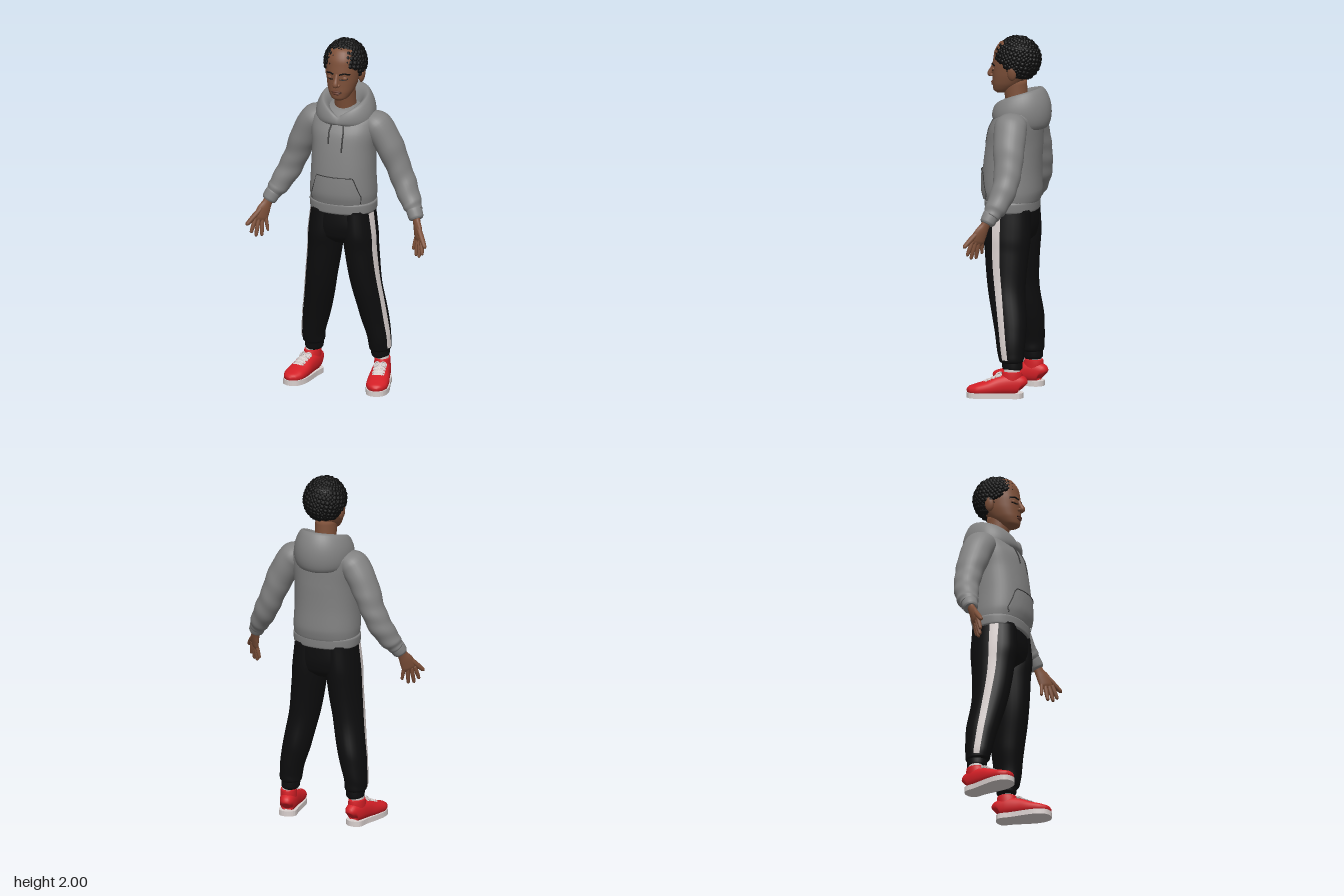
import * as THREE from 'three';
import { mergeGeometries } from 'three/addons/utils/BufferGeometryUtils.js';

const V = (x, y, z) => new THREE.Vector3(x, y, z);
const paint = (name, color, side = THREE.FrontSide) => {
  const m = new THREE.MeshStandardMaterial({ color, side });
  m.name = name;
  return m;
};

// Surface through closed rows of points, capped at both ends on request
function skin(rows, caps = true) {
  const n = rows[0].length, pos = rows.flat().flatMap(p => [p.x, p.y, p.z]), idx = [];
  for (let i = 0; i < rows.length - 1; i++) for (let j = 0; j < n; j++) {
    const k = (j + 1) % n, a = i * n + j, b = i * n + k;
    idx.push(a, b, a + n, b, b + n, a + n);
  }
  if (caps) [rows[0], rows[rows.length - 1]].forEach((row, end) => {
    const c = row.reduce((s, p) => s.add(p), V(0, 0, 0)).divideScalar(n);
    const ci = pos.length / 3, o = end ? (rows.length - 1) * n : 0;
    pos.push(c.x, c.y, c.z);
    for (let j = 0; j < n; j++) {
      const k = (j + 1) % n;
      idx.push(ci, o + (end ? j : k), o + (end ? k : j));
    }
  });
  const g = new THREE.BufferGeometry();
  g.setAttribute('position', new THREE.Float32BufferAttribute(pos, 3));
  g.setIndex(idx);
  g.computeVertexNormals();
  return g;
}

// Smooth loft through rings [x, y, z, radiusU, radiusV]; flat keeps rings horizontal
function loft(rings, { seg = 28, steps = 5, ref = V(0, 0, 1), flat = false, p = 2, fold = 0 } = {}) {
  const mid = new THREE.CatmullRomCurve3(rings.map(r => V(r[0], r[1], r[2])));
  const rad = new THREE.CatmullRomCurve3(rings.map(r => V(r[3], r[4], 0)));
  const n = (rings.length - 1) * steps, rows = [];
  const bend = c => Math.sign(c) * Math.abs(c) ** (2 / p);
  for (let i = 0; i <= n; i++) {
    const t = i / n, c = mid.getPoint(t), r = rad.getPoint(t);
    const dir = mid.getTangent(t);
    if (flat) dir.set(0, Math.sign(dir.y), 0);
    const u = ref.clone().cross(dir).normalize(), v = dir.clone().cross(u);
    rows.push(Array.from({ length: seg }, (_, j) => {
      const a = j / seg * Math.PI * 2;
      const k = 1 + fold * t * Math.sin(t * 38 + 2 * Math.sin(a + t * 3));
      return c.clone().addScaledVector(u, r.x * k * bend(Math.cos(a))).addScaledVector(v, r.y * k * bend(Math.sin(a)));
    }));
  }
  return skin(rows);
}

// Drop a point along dir onto target meshes
function drop(targets, p, dir, off) {
  const hit = new THREE.Raycaster(p, dir).intersectObjects(targets, false)[0];
  return hit ? hit.point.addScaledVector(dir, -off) : null;
}
const lerp = THREE.MathUtils.lerp;

export function createModel() {
  const model = new THREE.Group();
  model.name = 'standingFigure';
  const grey = paint('hoodieGrey', 0x828282, THREE.DoubleSide), seamGrey = paint('seamGrey', 0x3c3c3c);
  const brown = paint('skinBrown', 0x7d5039), lip = paint('lipBrown', 0x643a2c);
  const black = paint('hairBlack', 0x0b0b0b), pant = paint('trouserBlack', 0x0d0d0e);
  const white = paint('stripeWhite', 0xd9d0ce, THREE.DoubleSide), red = paint('shoeRed', 0xd31f26);

  const add = (name, geo, mat, parent = model) => {
    const m = new THREE.Mesh(geo, mat);
    m.name = name;
    parent.add(m);
    return m;
  };
  // Thin line laid over a surface
  const line = (name, mat, targets, pts, dir, r, parent) => {
    const q = [];
    pts.forEach((p, i) => {
      for (let k = 0; i && k < 6; k++) q.push(drop(targets, pts[i - 1].clone().lerp(p, k / 6), dir, r * 0.3));
    });
    q.push(drop(targets, pts[pts.length - 1], dir, r * 0.3));
    const ok = q.filter(Boolean);
    if (ok.length > 1) add(name, new THREE.TubeGeometry(new THREE.CatmullRomCurve3(ok), ok.length * 2, r, 6), mat, parent);
  };
  // Thin panel laid over a surface; at(u, v) gives the launch point
  const panel = (name, mat, targets, nu, nv, at, dir, off, parent) => {
    const g = new THREE.PlaneGeometry(1, 1, nu, nv), a = g.attributes.position;
    for (let i = 0; i < a.count; i++) {
      const s = at(a.getX(i) + 0.5, 0.5 - a.getY(i)), p = drop(targets, s, dir, off) || s;
      a.setXYZ(i, p.x, p.y, p.z);
    }
    g.computeVertexNormals();
    add(name, g, mat, parent);
  };
  const back = V(0, 0, -1), down = V(0, -1, 0);
  const front = (...pts) => pts.map(([x, y]) => V(x, y, 1));
  const ball = (name, mat, x, y, z, rx, ry, rz) => {
    const m = add(name, new THREE.SphereGeometry(1, 20, 14), mat);
    m.position.set(x, y, z);
    m.scale.set(rx, ry, rz);
    return m;
  };

  // Head and neck
  const head = add('head', loft([[0, 1.675, 0.075, 0.02, 0.025], [0, 1.69, 0.064, 0.048, 0.054], [0, 1.73, 0.04, 0.072, 0.083],
    [0, 1.78, 0.02, 0.086, 0.102], [0, 1.84, 0.005, 0.093, 0.117], [0, 1.9, -0.005, 0.095, 0.118], [0, 1.96, -0.01, 0.07, 0.09],
    [0, 1.98, -0.01, 0.02, 0.03]], { flat: true, seg: 36, p: 2.15 }), brown);
  add('neck', loft([[0, 1.54, -0.035, 0.066, 0.066], [0, 1.64, -0.015, 0.06, 0.064], [0, 1.75, 0, 0.06, 0.07]], { flat: true }), brown);
  add('noseBridge', loft([[0, 1.835, 0.115, 0.01, 0.01], [0, 1.805, 0.128, 0.012, 0.012], [0, 1.778, 0.14, 0.016, 0.015],
    [0, 1.766, 0.135, 0.01, 0.01]], { seg: 14 }), brown);
  ball('upperLip', lip, 0, 1.734, 0.122, 0.027, 0.007, 0.01);
  ball('lowerLip', lip, 0, 1.722, 0.12, 0.024, 0.008, 0.011);
  line('mouthLine', black, [head], front([-0.028, 1.729], [0, 1.728], [0.028, 1.729]), back, 0.002);
  for (const s of [1, -1]) {
    ball('ear', brown, s * 0.1, 1.8, -0.015, 0.015, 0.042, 0.026).rotation.z = -s * 0.15;
    ball('nostril', brown, s * 0.013, 1.773, 0.127, 0.011, 0.009, 0.013);
    ball('eyelid', brown, s * 0.038, 1.812, 0.105, 0.02, 0.012, 0.012);
    line('eyeLine', black, [head], front([s * 0.018, 1.807], [s * 0.038, 1.803], [s * 0.06, 1.808]), back, 0.0035);
    line('eyebrow', black, [head], front([s * 0.016, 1.834], [s * 0.042, 1.841], [s * 0.068, 1.832]), back, 0.0045);
  }

  // Curly hair: a core covered in small tufts above the hairline
  const curls = [], count = 620;
  for (let i = 0; i < count; i++) {
    const y = 1 - 2 * (i + 0.5) / count, r = Math.sqrt(1 - y * y), a = i * 2.39996;
    const p = V(Math.cos(a) * r * 0.108, 1.868 + y * 0.117, -0.02 + Math.sin(a) * r * 0.12);
    if (p.y < 1.77 + Math.max(0, p.z + 0.045) * 0.85) continue;
    const g = new THREE.IcosahedronGeometry(0.0135 + 0.003 * Math.sin(i * 7.3), 1);
    curls.push(g.translate(p.x, p.y, p.z));
  }
  add('hairCurls', mergeGeometries(curls), black);
  ball('hairCrown', black, 0, 1.905, -0.022, 0.107, 0.083, 0.118);
  ball('hairBack', black, 0, 1.85, -0.055, 0.095, 0.09, 0.083);

  // Hoodie body, hem and hood
  const torso = add('hoodieBody', loft([[0, 1.06, 0.008, 0.175, 0.14], [0, 1.085, 0.008, 0.183, 0.15], [0, 1.14, 0.01, 0.186, 0.162],
    [0, 1.25, 0.01, 0.18, 0.16], [0, 1.38, 0, 0.178, 0.155], [0, 1.48, -0.012, 0.188, 0.146], [0, 1.55, -0.03, 0.188, 0.127],
    [0, 1.6, -0.04, 0.15, 0.1], [0, 1.625, -0.04, 0.08, 0.06]], { flat: true, seg: 44, p: 2.25 }), grey);
  add('hoodieHem', loft([[0, 1.022, 0.01, 0.178, 0.136], [0, 1.03, 0.01, 0.187, 0.145], [0, 1.075, 0.01, 0.19, 0.148],
    [0, 1.088, 0.01, 0.18, 0.142]], { flat: true, seg: 44, p: 2.25 }), grey);
  // Rows: side radius, front z, back z, front y, back y
  const hoodRows = [[0.1, 0.05, -0.12, 1.5, 1.48], [0.15, 0.1, -0.185, 1.53, 1.49], [0.168, 0.118, -0.208, 1.54, 1.55],
    [0.16, 0.118, -0.2, 1.56, 1.645], [0.128, 0.105, -0.158, 1.578, 1.712], [0.102, 0.085, -0.115, 1.568, 1.69], [0.07, 0.045, -0.07, 1.54, 1.6]];
  const hoodCols = Array.from({ length: 44 }, (_, j) => {
    const a = j / 44 * Math.PI * 2, c = Math.cos(a), b = ((1 - c) / 2) ** 0.45;
    return new THREE.CatmullRomCurve3(hoodRows.map(([rx, zf, zb, yf, yb]) =>
      V(rx * Math.sin(a), lerp(yf, yb, b), -0.02 + (c > 0 ? (zf + 0.02) * c : -(zb + 0.02) * c)))).getPoints(24);
  });
  add('hood', skin(hoodCols[0].map((_, i) => hoodCols.map(c => c[i])), false), grey);

  // Front pocket, seams and drawstrings
  panel('frontPocket', grey, [torso], 16, 8, (u, v) => V((u - 0.5) * 2 * lerp(0.105, 0.15, v), lerp(1.25, 1.09, v), 1), back, 0.008);
  const pocket = add('pocketGuide', model.children[model.children.length - 1].geometry, grey);
  model.remove(pocket);
  line('pocketTopSeam', seamGrey, [pocket], front([-0.103, 1.248], [0.103, 1.248]), back, 0.003);
  for (const s of [1, -1]) {
    line('pocketSideSeam', seamGrey, [pocket, torso], front([s * 0.105, 1.248], [s * 0.146, 1.13], [s * 0.143, 1.095]), back, 0.003);
    line('drawstring', seamGrey, [torso], front([s * 0.03, 1.555], [s * 0.042, 1.5], [s * 0.04, s > 0 ? 1.39 : 1.43]), back, 0.0045);
    line('neckSeam', seamGrey, [torso], front([0, 1.535], [s * 0.04, 1.545], [s * 0.085, 1.56]), back, 0.003);
  }

  // Hips
  const hips = add('trouserHips', loft([[0, 1.05, 0.008, 0.176, 0.134], [0, 0.95, 0.01, 0.184, 0.139], [0, 0.88, 0.01, 0.175, 0.125],
    [0, 0.835, 0.01, 0.1, 0.07]], { flat: true, seg: 40, p: 2.3 }), pant);

  for (const s of [1, -1]) {
    const side = s > 0 ? 'left' : 'right';
    const flip = rings => rings.map(([x, ...r]) => [s * x, ...r]);

    // Sleeve and cuff
    add(side + 'Sleeve', loft(flip([[0.12, 1.565, -0.035, 0.035, 0.06], [0.185, 1.51, -0.035, 0.08, 0.092], [0.255, 1.39, -0.045, 0.077, 0.087],
      [0.3, 1.28, -0.052, 0.068, 0.077], [0.345, 1.18, -0.042, 0.066, 0.07], [0.395, 1.09, -0.01, 0.056, 0.06],
      [0.42, 1.05, 0.01, 0.044, 0.046]]), { fold: 0.045, steps: 9 }), grey);
    add(side + 'SleeveCuff', loft(flip([[0.41, 1.07, 0.004, 0.036, 0.038], [0.418, 1.055, 0.01, 0.044, 0.046], [0.435, 1.02, 0.024, 0.042, 0.042],
      [0.44, 1.01, 0.028, 0.034, 0.034]])), grey);

    // Hand with four fingers and a thumb
    const across = V(s * 0.7, 0, 0.7);
    add(side + 'Palm', loft(flip([[0.432, 1.04, 0.02, 0.022, 0.026], [0.443, 1.0, 0.036, 0.019, 0.028], [0.458, 0.96, 0.056, 0.018, 0.04],
      [0.467, 0.92, 0.07, 0.015, 0.042], [0.47, 0.9, 0.075, 0.008, 0.034]]), { ref: across, seg: 20 }), brown);
    const fingers = { index: [[0.491, 0.92, 0.094], [0.508, 0.837, 0.12]], middle: [[0.477, 0.915, 0.08], [0.484, 0.815, 0.106]],
      ring: [[0.462, 0.915, 0.065], [0.457, 0.815, 0.085]], little: [[0.448, 0.925, 0.051], [0.43, 0.84, 0.058]],
      thumb: [[0.465, 0.975, 0.065], [0.531, 0.885, 0.135]] };
    for (const [name, [a, b]] of Object.entries(fingers)) {
      const k = name === 'thumb' ? 0.0135 : name === 'little' ? 0.0095 : 0.011;
      const at = (t, r) => [...a.map((c, i) => lerp(c, b[i], t)), r * k, r * k];
      add(`${side}Finger_${name}`, loft(flip([at(0, 1), at(0.4, 1.1), at(0.7, 1), at(0.93, 0.8), at(1, 0.2)]), { ref: across, seg: 12 }), brown);
    }

    // Trouser leg, ankle cuff and side stripe
    const leg = add(side + 'TrouserLeg', loft(flip([[0.088, 1.04, 0.01, 0.09, 0.13], [0.1, 0.9, 0.012, 0.094, 0.136], [0.107, 0.8, 0.01, 0.093, 0.125],
      [0.132, 0.6, 0.005, 0.085, 0.106], [0.168, 0.4, -0.027, 0.078, 0.093], [0.194, 0.26, -0.038, 0.064, 0.076],
      [0.196, 0.205, -0.042, 0.06, 0.068], [0.195, 0.19, -0.045, 0.046, 0.054]]), { flat: true, fold: 0.012, steps: 8 }), pant);
    add(side + 'AnkleCuff', loft(flip([[0.195, 0.215, -0.045, 0.045, 0.052], [0.195, 0.2, -0.046, 0.052, 0.058], [0.196, 0.165, -0.048, 0.05, 0.056],
      [0.196, 0.152, -0.048, 0.04, 0.046]]), { flat: true }), pant);
    const mid = new THREE.CatmullRomCurve3([V(0, 1.025, 0.05), V(0, 0.75, 0.045), V(0, 0.5, 0.015), V(0, 0.215, -0.022)]);
    panel(side + 'Stripe', white, [hips, leg], 4, 40, (u, v) => {
      const c = mid.getPoint(v);
      return V(s, c.y, c.z + (u - 0.5) * lerp(0.05, 0.034, v));
    }, V(-s, 0, 0), 0.005);

    // Shoe, turned slightly outward
    const shoe = new THREE.Group();
    shoe.name = side + 'Shoe';
    const half = [[0.045, -0.092], [0.051, -0.02], [0.062, 0.07], [0.063, 0.13], [0.043, 0.185]];
    const outline = [[0, -0.113], ...half, [0, 0.203], ...half.map(([x, z]) => [-x, z]).reverse()].map(([x, z]) => V(x, z, 0));
    const sole = new THREE.ExtrudeGeometry(new THREE.Shape(new THREE.CatmullRomCurve3(outline, true).getPoints(48)
      .slice(0, -1).map(p => new THREE.Vector2(p.x, p.y))), { depth: 0.03, bevelEnabled: false });
    add('sole', sole.rotateX(Math.PI / 2).translate(0, 0.03, 0), white, shoe);
    const upper = add('upper', loft([[0, 0.06, -0.112, 0.02, 0.028], [0, 0.072, -0.1, 0.039, 0.05], [0, 0.077, -0.05, 0.049, 0.06],
      [0, 0.069, 0.02, 0.054, 0.055], [0, 0.055, 0.08, 0.061, 0.043], [0, 0.045, 0.14, 0.06, 0.034], [0, 0.04, 0.183, 0.04, 0.024],
      [0, 0.036, 0.2, 0.012, 0.01]], { ref: V(0, 1, 0), p: 2.3 }), red, shoe);
    add('collar', loft([[0, 0.08, -0.045, 0.046, 0.062], [0, 0.125, -0.05, 0.045, 0.058], [0, 0.148, -0.052, 0.042, 0.052],
      [0, 0.143, -0.052, 0.03, 0.04]], { flat: true }), red, shoe);
    add('sock', loft([[0, 0.1, -0.05, 0.036, 0.044], [0, 0.155, -0.05, 0.037, 0.045], [0, 0.185, -0.05, 0.036, 0.042]], { flat: true }), white, shoe);
    panel('tongue', white, [upper], 8, 8, (u, v) => V((u - 0.5) * lerp(0.056, 0.046, v), 1, lerp(0.005, 0.105, v)), down, 0.004, shoe);
    for (let i = 0; i < 4; i++) for (const d of [1, -1]) {
      const z = 0.02 + i * 0.022;
      line('lace', white, [upper], [V(-0.034, 1, z - d * 0.009), V(0.034, 1, z + d * 0.009)], down, 0.005, shoe);
    }
    for (const d of [1, -1]) {
      const bow = add('laceBow', new THREE.TorusGeometry(0.015, 0.004, 6, 16), white, shoe);
      bow.position.set(d * 0.021, 0.13, 0.025);
      bow.rotation.set(-1.1, d * 0.5, 0);
    }
    shoe.position.x = s * 0.217;
    shoe.rotation.y = s * 0.2;
    model.add(shoe);
  }
  return model;
}
